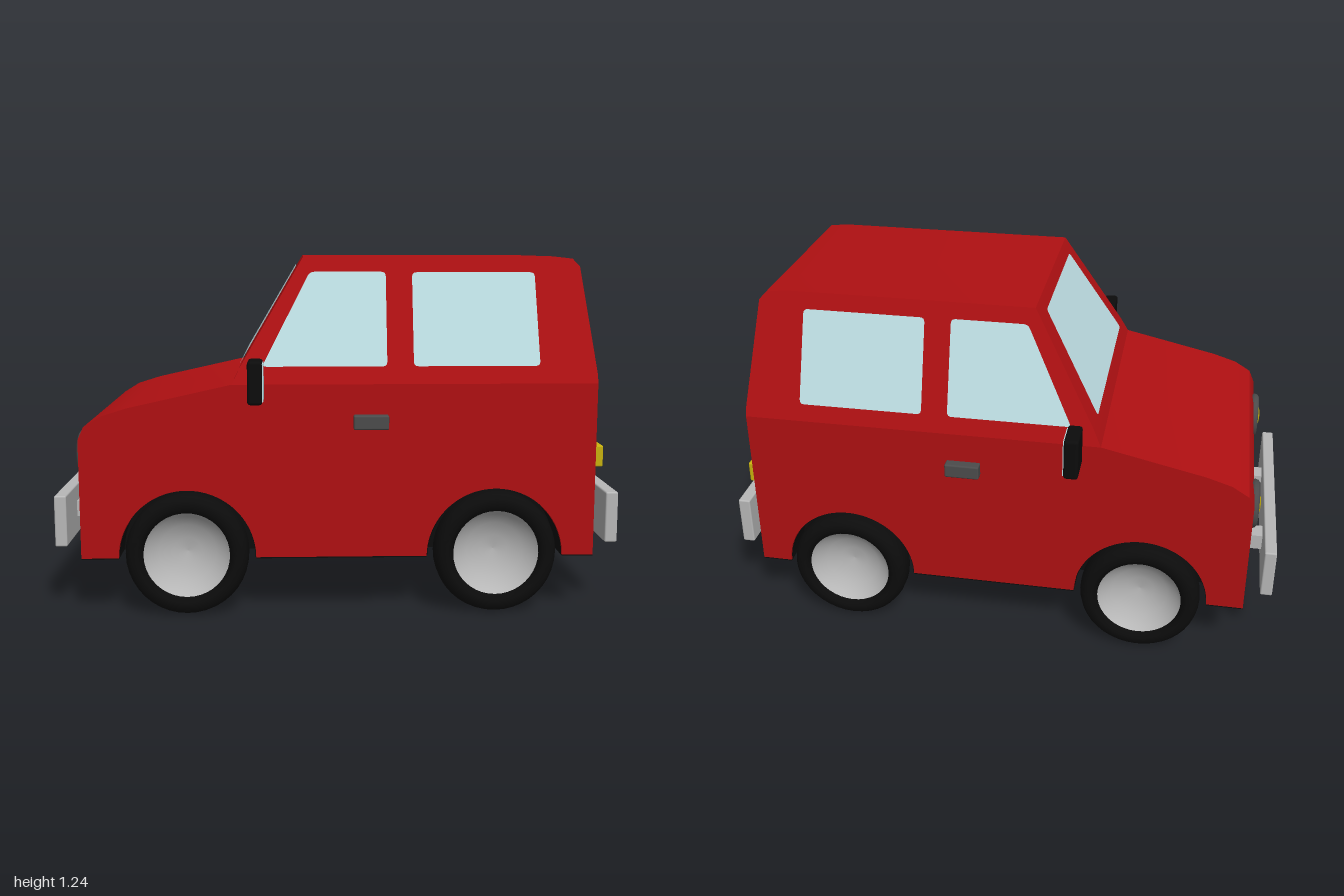
import * as THREE from 'three';
import { toCreasedNormals } from 'three/addons/utils/BufferGeometryUtils.js';
import { RoundedBoxGeometry } from 'three/addons/geometries/RoundedBoxGeometry.js';

const mat = (name, color, side = THREE.FrontSide) => {
  const m = new THREE.MeshStandardMaterial({ color, side });
  m.name = name;
  return m;
};

export function createModel() {
  const car = new THREE.Group();
  car.name = 'car';
  const red = mat('red paint', 0xb01012);
  const black = mat('black rubber', 0x0c0c0c, THREE.DoubleSide);
  const glass = mat('pale glass', 0xbfe0e5, THREE.DoubleSide);
  const silver = mat('silver metal', 0xb8b8b8, THREE.DoubleSide);
  const grey = mat('dark grey trim', 0x4c4c4c);
  const yellow = mat('yellow lamp', 0xc9b30e);

  const add = (name, geo, material, x = 0, y = 0, z = 0) => {
    const mesh = new THREE.Mesh(geo, material);
    mesh.name = name;
    mesh.position.set(x, y, z);
    car.add(mesh);
    return mesh;
  };
  // Box given by its limits on each axis
  const box = (name, material, x0, x1, y0, y1, z0, z1, r = 0) => {
    const s = [x1 - x0, y1 - y0, z1 - z0];
    const geo = r ? new RoundedBoxGeometry(...s, 2, r) : new THREE.BoxGeometry(...s);
    return add(name, geo, material, (x0 + x1) / 2, (y0 + y1) / 2, (z0 + z1) / 2);
  };

  // Half width of the shell: straight below the belt line, leaning in above it
  const halfWidth = y => 0.495 - Math.max(0, y - 0.81) * 0.322;
  const shell = (name, shape) => {
    const geo = new THREE.ExtrudeGeometry(shape, { depth: 2, bevelEnabled: false, curveSegments: 28 });
    geo.translate(0, 0, -1);
    const p = geo.attributes.position;
    for (let i = 0; i < p.count; i++) p.setZ(i, p.getZ(i) * halfWidth(p.getY(i)));
    add(name, toCreasedNormals(geo, 0.5), red);
  };

  // Lower body with wheel arches
  const wheelX = [-0.53, 0.55];
  const lower = new THREE.Shape();
  lower.moveTo(-0.9, 0.2);
  [[-0.9, 0.62], [-0.88, 0.665], [-0.82, 0.702], [-0.73, 0.73], [-0.37, 0.81], [0.9, 0.81], [0.9, 0.2]]
    .forEach(([x, y]) => lower.lineTo(x, y));
  for (const x of [...wheelX].reverse()) {
    lower.lineTo(x + 0.24, 0.2);
    lower.absarc(x, 0.2, 0.24, 0, Math.PI, false);
  }
  shell('lowerBody', lower);

  // Cabin
  const cabin = [[-0.37, 0.81], [-0.34, 0.87], [-0.12, 1.245], [0.76, 1.245], [0.83, 1.237], [0.855, 1.21], [0.9, 0.84], [0.9, 0.81]];
  shell('cabin', new THREE.Shape(cabin.map(([x, y]) => new THREE.Vector2(x, y))));

  // Window pane with softened corners, laid on the shell by a mapping rule
  const pane = (name, corners, place) => {
    const pts = corners.map(c => new THREE.Vector2(...c));
    const shape = new THREE.Shape();
    pts.forEach((p, i) => {
      const toward = q => p.clone().add(q.clone().sub(p).setLength(0.016));
      const a = toward(pts[(i + pts.length - 1) % pts.length]);
      const b = toward(pts[(i + 1) % pts.length]);
      if (i) shape.lineTo(a.x, a.y); else shape.moveTo(a.x, a.y);
      shape.quadraticCurveTo(p.x, p.y, b.x, b.y);
    });
    const geo = new THREE.ShapeGeometry(shape, 4);
    const pos = geo.attributes.position;
    for (let i = 0; i < pos.count; i++) pos.setXYZ(i, ...place(pos.getX(i), pos.getY(i)));
    geo.computeVertexNormals();
    add(name, geo, glass);
  };
  pane('windscreen', [[-0.385, 0.872], [0.385, 0.872], [0.28, 1.21], [-0.28, 1.21]],
    (z, y) => [-0.346 + (y - 0.87) * 0.587, y, z]);
  pane('rearWindow', [[-0.39, 0.868], [0.39, 0.868], [0.278, 1.167], [-0.278, 1.167]],
    (z, y) => [0.905 - (y - 0.84) * 0.1216, y, z]);

  for (const s of [1, -1]) {
    const side = s > 0 ? 'left' : 'right';
    const onSide = (x, y) => [x, y, s * (halfWidth(y) + 0.004)];
    pane(side + 'FrontWindow', [[-0.265, 0.87], [0.168, 0.87], [0.168, 1.192], [-0.098, 1.192]], onSide);
    pane(side + 'BackWindow', [[0.26, 0.87], [0.7, 0.87], [0.692, 1.19], [0.26, 1.19]], onSide);

    // Parts centred on a distance z from the middle, mirrored by s
    const sideBox = (name, m, x0, x1, y0, y1, z, w, r) =>
      box(side + name, m, x0, x1, y0, y1, s * z - w / 2, s * z + w / 2, r);
    sideBox('DoorHandle', grey, 0.05, 0.172, 0.655, 0.705, 0.51, 0.04, 0.006);
    sideBox('MirrorArm', black, -0.3, -0.265, 0.81, 0.86, 0.505, 0.07);
    sideBox('Mirror', black, -0.31, -0.26, 0.757, 0.903, 0.578, 0.118, 0.01);
    sideBox('MirrorGlass', glass, -0.263, -0.257, 0.766, 0.894, 0.578, 0.1);
    sideBox('TailLight', yellow, 0.89, 0.94, 0.505, 0.582, 0.338, 0.213, 0.006);
    sideBox('FrontBumperBracket', silver, -0.965, -0.89, 0.295, 0.352, 0.215, 0.07);
    sideBox('RearBumperBracket', silver, 0.89, 0.962, 0.295, 0.352, 0.215, 0.07);

    // Headlight: domed lens in a round bezel
    add(side + 'HeadlightBezel', new THREE.TorusGeometry(0.07, 0.018, 10, 32).rotateY(Math.PI / 2), grey, -0.905, 0.545, s * 0.335);
    add(side + 'HeadlightLens', new THREE.SphereGeometry(0.064, 24, 12).scale(0.45, 1, 1), yellow, -0.902, 0.545, s * 0.335);

    // Floor strips between the arches
    for (const [x0, x1] of [[-0.9, -0.77], [-0.29, 0.31], [0.79, 0.9]])
      sideBox('FloorStrip', black, x0, x1, 0.196, 0.2, 0.425, 0.14);
  }

  // Underbody and wheel arch linings
  box('underbody', black, -0.895, 0.895, 0.196, 0.45, -0.36, 0.36);
  for (const x of wheelX)
    add('archLining', new THREE.CylinderGeometry(0.238, 0.238, 0.988, 28, 1, true, Math.PI / 2, Math.PI).rotateX(Math.PI / 2), black, x, 0.2, 0);

  // Bumpers
  box('frontBumper', silver, -1, -0.957, 0.23, 0.413, -0.445, 0.445, 0.006);
  box('rearBumper', silver, 0.955, 1, 0.23, 0.413, -0.445, 0.445, 0.006);

  // Wheels: rounded tyre, dished rim, hub axle
  const lathe = pts => new THREE.LatheGeometry(pts.map(p => new THREE.Vector2(...p)), 40).rotateX(Math.PI / 2);
  const tyre = lathe([[0.15, -0.045], [0.17, -0.058], [0.194, -0.055], [0.209, -0.04], [0.215, -0.018], [0.215, 0.018],
    [0.209, 0.04], [0.194, 0.055], [0.17, 0.058], [0.15, 0.045], [0.15, -0.045]]);
  const rim = lathe([[0, -0.02], [0.05, -0.015], [0.1, 0.003], [0.135, 0.027], [0.152, 0.045]]);
  const axle = new THREE.CylinderGeometry(0.03, 0.03, 0.12, 16).rotateX(Math.PI / 2);
  for (const x of wheelX) for (const s of [1, -1]) {
    const wheel = new THREE.Group();
    wheel.name = (x < 0 ? 'front' : 'rear') + (s > 0 ? 'Left' : 'Right') + 'Wheel';
    [['tyre', tyre, black, 0], ['rim', rim, silver, 0], ['axle', axle, black, -0.082]].forEach(([name, geo, m, z]) => {
      const part = new THREE.Mesh(geo, m);
      part.name = name;
      part.position.z = z;
      wheel.add(part);
    });
    wheel.position.set(x, 0.217, s * 0.48);
    if (s < 0) wheel.rotation.y = Math.PI;
    car.add(wheel);
  }
  return car;
}
